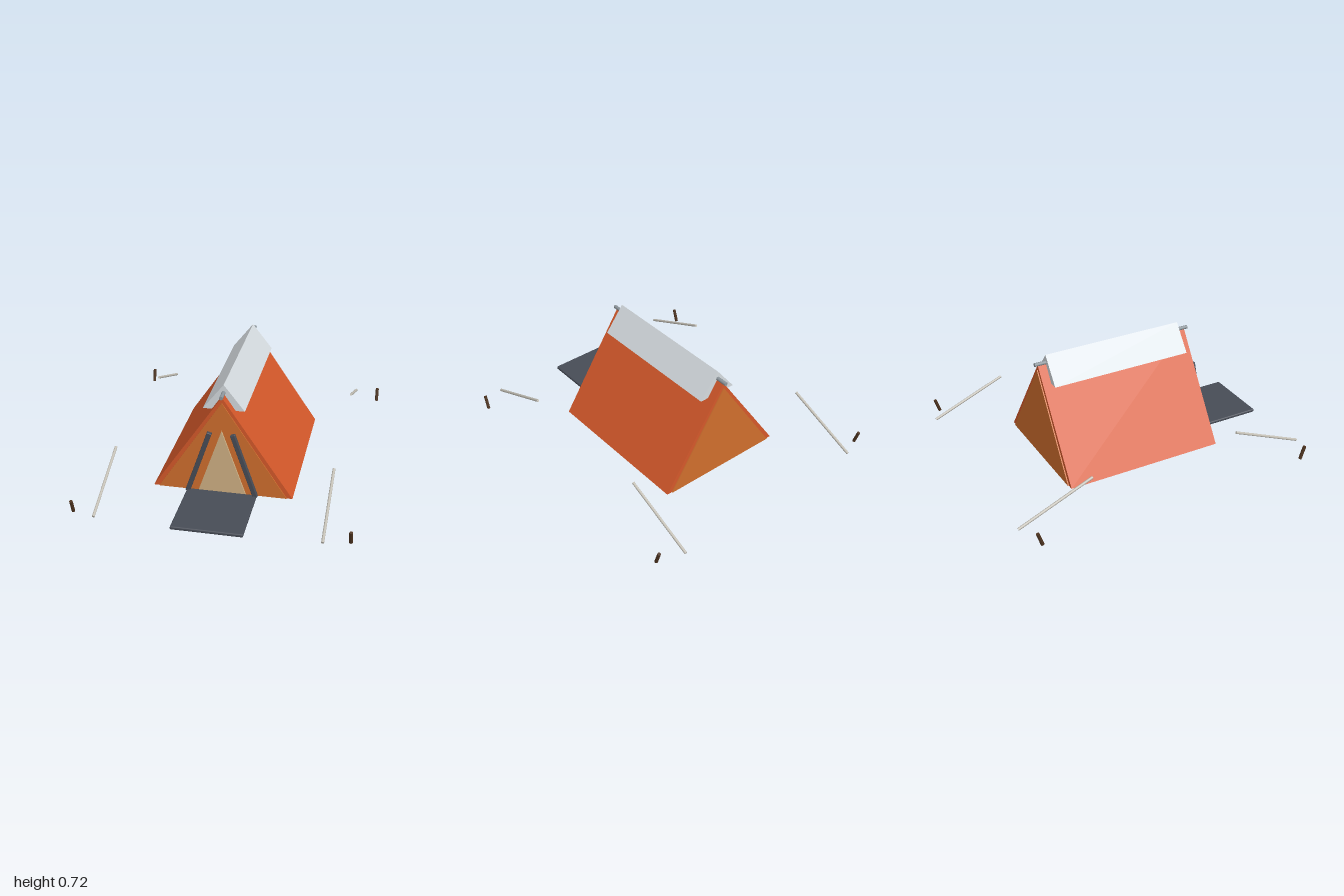
import * as THREE from 'three';
import { RoundedBoxGeometry } from 'three/addons/geometries/RoundedBoxGeometry.js';

const mat = (name, color) => {
  const m = new THREE.MeshStandardMaterial({ color });
  m.name = name;
  return m;
};

export function createModel() {
  const model = new THREE.Group();
  model.name = 'ridgeTent';

  const canvas = mat('orange canvas', 0xd4582a);
  const endCloth = mat('light orange cloth', 0xcf6e2d);
  const tan = mat('tan cloth', 0xcfb083);
  const fly = mat('pale grey fly', 0xd5dbdf);
  const metal = mat('grey metal', 0x8d969c);
  const dark = mat('dark slate', 0x474c56);
  const rope = mat('rope', 0xc6c2b8);
  const wood = mat('dark wood', 0x4e3420);

  const add = (name, geometry, material) => {
    const mesh = new THREE.Mesh(geometry, material);
    mesh.name = name;
    model.add(mesh);
    return mesh;
  };

  // Triangular prism running along z
  const prism = (name, halfWidth, bottom, top, z0, z1, material) => {
    const shape = new THREE.Shape([
      new THREE.Vector2(-halfWidth, bottom),
      new THREE.Vector2(halfWidth, bottom),
      new THREE.Vector2(0, top),
    ]);
    const g = new THREE.ExtrudeGeometry(shape, { depth: z1 - z0, bevelEnabled: false });
    return add(name, g.translate(0, 0, z0), material);
  };

  // Round rod between two points
  const rod = (name, a, b, radius, material, sides = 8) => {
    const from = new THREE.Vector3(...a), to = new THREE.Vector3(...b);
    const dir = to.clone().sub(from);
    const mesh = add(name, new THREE.CylinderGeometry(radius, radius, dir.length(), sides), material);
    mesh.position.copy(from).add(to).multiplyScalar(0.5);
    mesh.quaternion.setFromUnitVectors(new THREE.Vector3(0, 1, 0), dir.normalize());
    return mesh;
  };

  // Tent body, end panels, ridge cover and ridge pole
  prism('tentBody', 0.44, 0.008, 0.665, -0.53, 0.53, canvas);
  prism('frontPanel', 0.405, 0.009, 0.63, 0.52, 0.537, endCloth);
  prism('backPanel', 0.405, 0.009, 0.63, -0.537, -0.52, endCloth);
  prism('ridgeCover', 0.13, 0.555, 0.722, -0.475, 0.475, fly);
  rod('ridgePole', [0, 0.67, -0.552], [0, 0.67, 0.552], 0.012, metal, 12);

  // Doorway and its tied-back flaps
  prism('door', 0.15, 0.012, 0.445, 0.53, 0.551, tan);
  for (const s of [-1, 1]) {
    const dx = -0.143, dy = 0.42;
    const flap = add('doorFlap', new RoundedBoxGeometry(0.03, Math.hypot(dx, dy), 0.027, 2, 0.004), dark);
    flap.position.set(s * 0.1425, 0.226, 0.561);
    flap.rotation.z = s * Math.atan2(-dx, dy);
  }

  // Ground mat at the entrance
  add('entranceMat', new RoundedBoxGeometry(0.44, 0.022, 0.44, 2, 0.008), dark)
    .position.set(0, 0.013, 0.772);

  // Guy ropes and stakes at the four corners
  for (const sx of [-1, 1]) {
    for (const sz of [-1, 1]) {
      rod('guyRope', [sx * 0.685, 0.24, sz * 0.508], [sx * 0.685, 0.036, sz * 0.996], 0.009, rope);
      rod('stake', [sx * 0.84, 0.004, sz * 0.914], [sx * 0.84, 0.09, sz * 0.942], 0.011, wood);
    }
  }
  return model;
}
